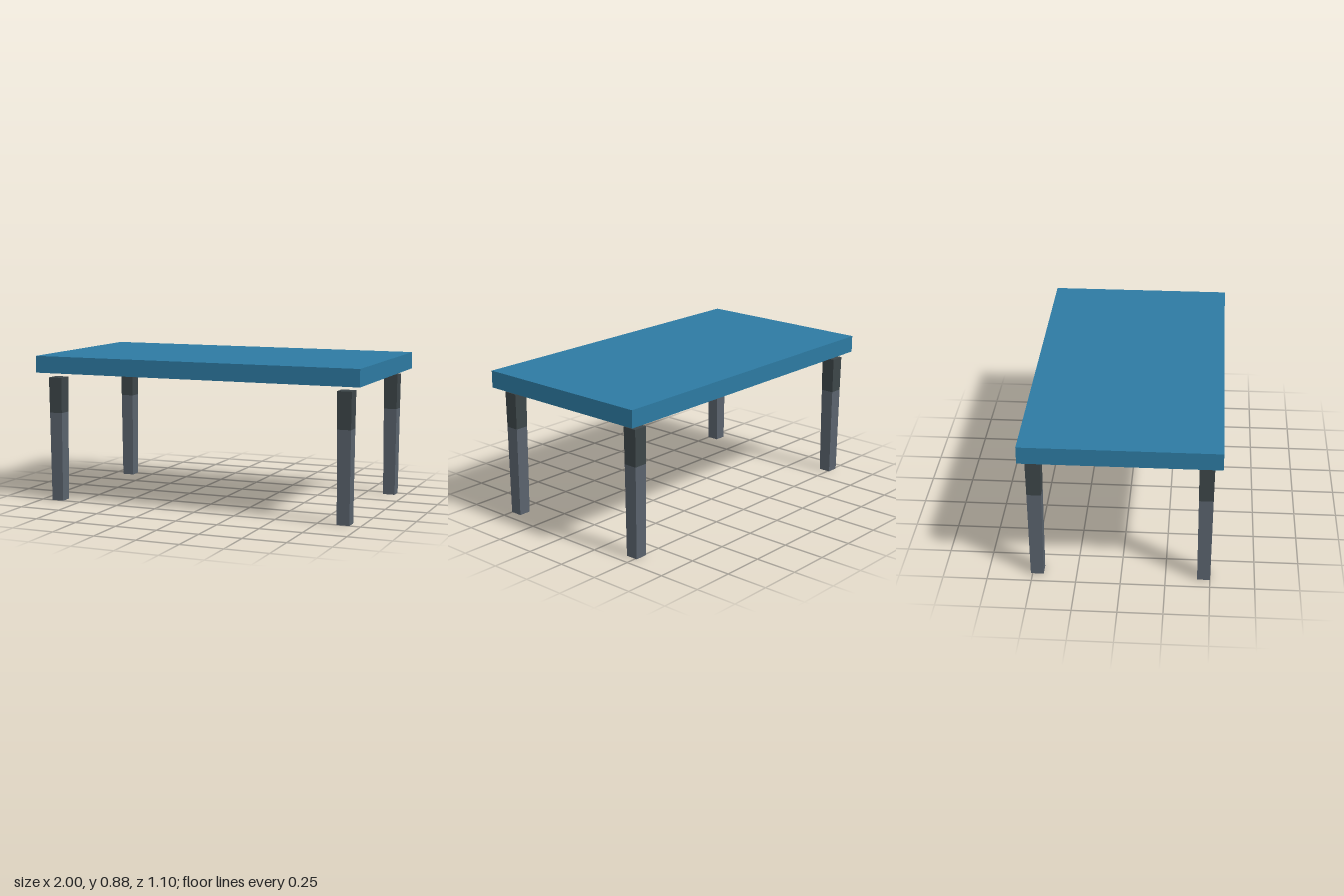
import * as THREE from 'three';

// Square tapering post between two heights
function taperedPost(bottomWidth, topWidth, y0, y1) {
  const g = new THREE.CylinderGeometry(topWidth / Math.SQRT2, bottomWidth / Math.SQRT2, y1 - y0, 4);
  g.rotateY(Math.PI / 4);
  g.translate(0, (y0 + y1) / 2, 0);
  return g;
}

export function createModel() {
  const material = (name, color) => new THREE.MeshStandardMaterial({ name, color, flatShading: true });
  const blue = material('blue top', 0x2d7aa2);
  const dark = material('dark grey', 0x3d4649);
  const grey = material('leg grey', 0x5a636d);

  const table = new THREE.Group();
  table.name = 'table';

  // Slab top, floating slightly above the legs
  const top = new THREE.Mesh(new THREE.BoxGeometry(2, 0.1, 1.1), blue);
  top.name = 'tableTop';
  top.position.y = 0.825;
  table.add(top);

  // Four legs, each with a dark upper section
  const lowerGeometry = taperedPost(0.073, 0.08, 0, 0.533);
  const upperGeometry = taperedPost(0.08, 0.084, 0.533, 0.745);
  for (const [zName, z] of [['front', 0.465], ['back', -0.474]]) {
    for (const [xName, x] of [['Left', 0.9], ['Right', -0.897]]) {
      const leg = new THREE.Group();
      leg.name = `${zName}${xName}Leg`;
      const lower = new THREE.Mesh(lowerGeometry, grey);
      lower.name = 'lowerLeg';
      const upper = new THREE.Mesh(upperGeometry, dark);
      upper.name = 'upperLeg';
      leg.add(lower, upper);
      leg.position.set(x, 0, z);
      table.add(leg);
    }
  }
  return table;
}
